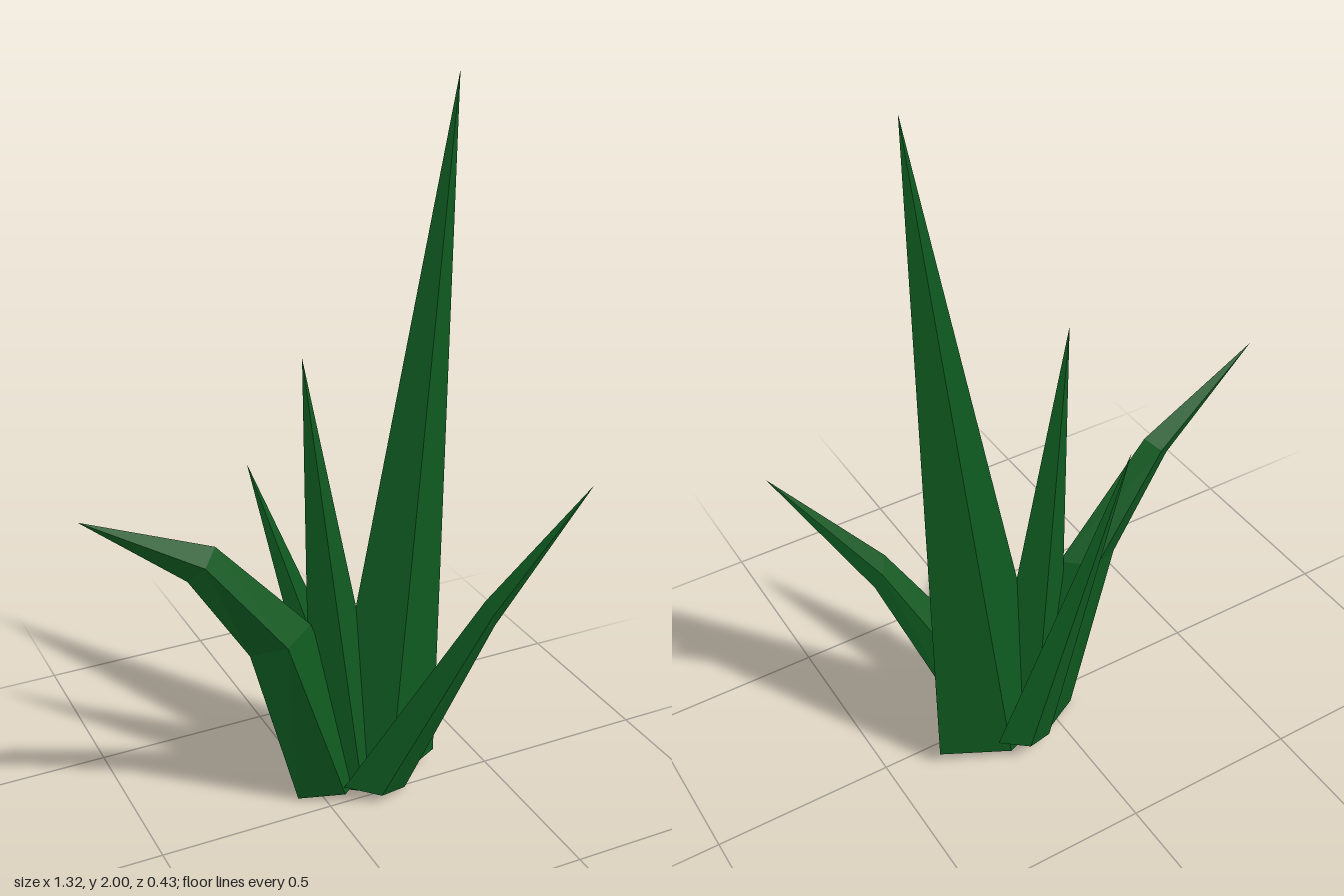
import * as THREE from 'three';

const leafMaterial = new THREE.MeshStandardMaterial({ color: 0x0f5a20, flatShading: true });

// A leaf with a diamond cross-section.
// Each section: [edge on the -x side, edge on the +x side, half thickness]; ridges sit midway.
function makeLeaf(name, sections, tip) {
  const positions = [];
  const index = [];
  for (const [a, b, t] of sections) {
    const mid = a.map((v, i) => (v + b[i]) / 2);
    positions.push(...a, mid[0], mid[1], mid[2] + t, ...b, mid[0], mid[1], mid[2] - t);
  }
  positions.push(...tip);
  const last = sections.length - 1;
  const tipIndex = sections.length * 4;

  for (let s = 0; s <= last; s++) {
    for (let k = 0; k < 4; k++) {
      const p = s * 4 + k;
      const q = s * 4 + (k + 1) % 4;
      if (s === last) index.push(p, q, tipIndex);
      else index.push(p, q, q + 4, p, q + 4, p + 4);
    }
  }
  index.push(0, 2, 1, 0, 3, 2); // base cap

  const geometry = new THREE.BufferGeometry();
  geometry.setAttribute('position', new THREE.Float32BufferAttribute(positions, 3));
  geometry.setIndex(index);
  geometry.computeVertexNormals();
  const mesh = new THREE.Mesh(geometry, leafMaterial);
  mesh.name = name;
  return mesh;
}

export function createModel() {
  const plant = new THREE.Group();
  plant.name = 'leafyPlant';

  plant.add(
    // Tall upright leaf
    makeLeaf('tallLeaf', [
      [[0.0, 0.01, -0.07], [0.365, 0.045, -0.07], 0.08],
    ], [0.38, 2.0, -0.07]),

    // Medium upright leaf crossing the tall one
    makeLeaf('middleLeaf', [
      [[-0.03, 0.04, -0.07], [0.23, 0.01, -0.07], 0.07],
    ], [-0.045, 1.33, -0.07]),

    // Arching leaf bending over towards -x
    makeLeaf('archingLeaf', [
      [[-0.07, 0.01, -0.065], [0.16, 0.055, -0.07], 0.07],
      [[-0.21, 0.52, -0.055], [-0.03, 0.57, -0.06], 0.048],
      [[-0.38, 0.79, -0.045], [-0.30, 0.87, -0.05], 0.028],
    ], [-0.66, 1.03, -0.02]),

    // Leaf leaning forward towards +x
    makeLeaf('frontLeaf', [
      [[0.04, 0.06, 0.005], [0.23, 0.005, 0.01], 0.045],
      [[0.39, 0.64, 0.14], [0.43, 0.55, 0.13], 0.016],
    ], [0.66, 0.96, 0.215]),

    // Small leaf at the back
    makeLeaf('backLeaf', [
      [[0.06, 0.03, -0.155], [0.225, 0.09, -0.155], 0.035],
    ], [-0.14, 1.0, -0.215]),
  );
  return plant;
}
